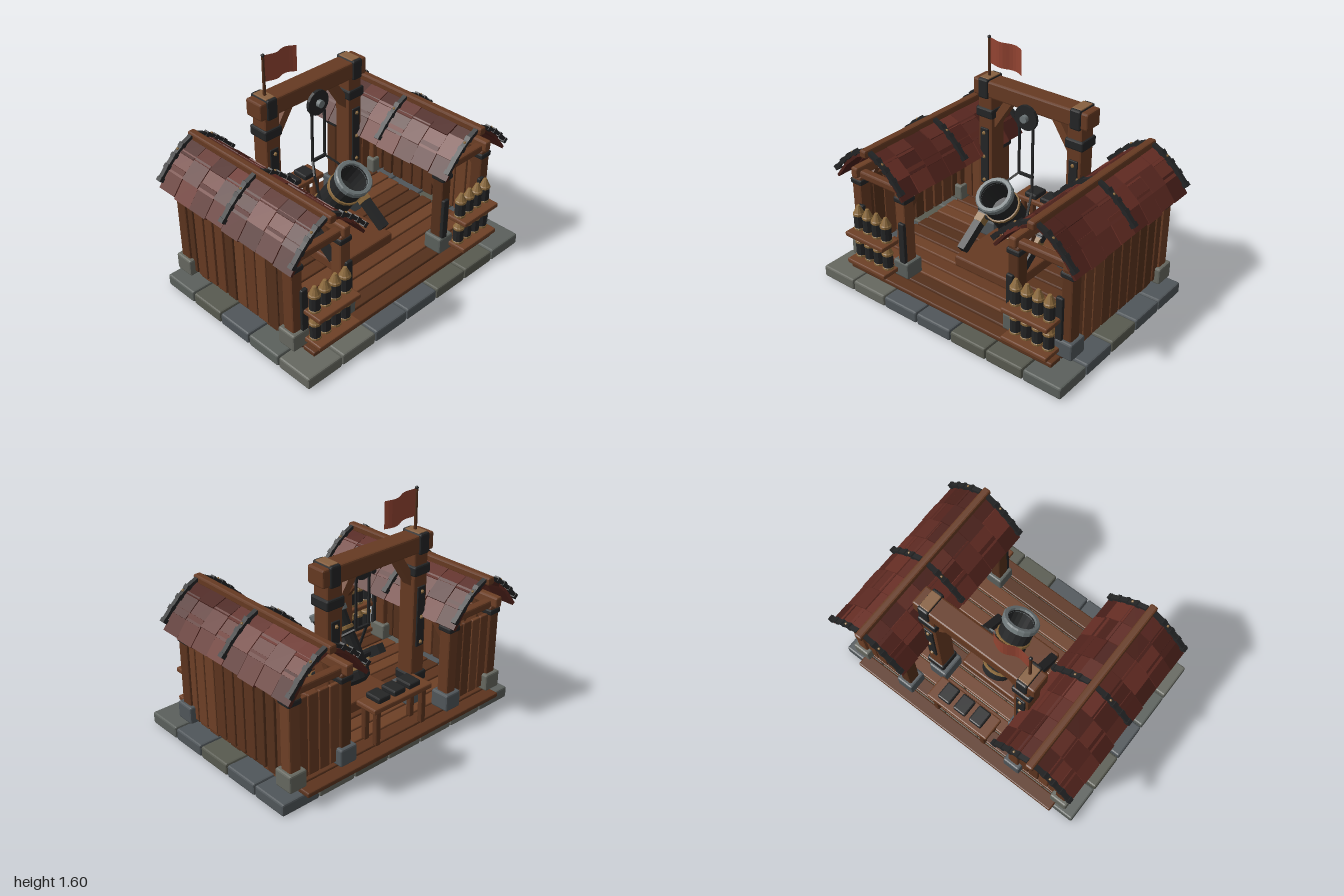
import * as THREE from 'three';
import { RoundedBoxGeometry } from 'three/addons/geometries/RoundedBoxGeometry.js';

const WOOD = [0x663a22, 0x5c341e, 0x6e4026, 0x54301c];
const ROOF = [0x5e2a22, 0x54241d, 0x682e25, 0x4a201a];
const STONE = [0x5b605c, 0x50565a, 0x666860, 0x585a50];
const IRON = 0x242526, BRASS = 0x8c6a3c, STEEL = 0x6d7678, TAN = 0x87603f, CLOTH = 0x944432;

export function createModel() {
  const model = new THREE.Group();
  let seed = 7;
  const rnd = () => (seed = (seed * 16807) % 2147483647) / 2147483647;
  const pick = list => list[Math.floor(rnd() * list.length)];
  const mats = {};
  const mat = c => (mats[c] ??= new THREE.MeshStandardMaterial({ color: c, flatShading: true }));
  const group = (name, parent = model) => {
    const g = new THREE.Group();
    g.name = name;
    parent.add(g);
    return g;
  };
  const add = (g, name, geo, color) => {
    const m = new THREE.Mesh(geo, mat(color));
    m.name = name;
    g.add(m);
    return m;
  };
  // Chamfered block given by its ranges along x, y and z; s mirrors it in x
  const block = (g, name, color, [x0, x1], [y0, y1], [z0, z1], s = 1) => {
    const w = x1 - x0, h = y1 - y0, d = z1 - z0;
    const m = add(g, name, new RoundedBoxGeometry(w, h, d, 1, Math.min(0.012, Math.min(w, h, d) * 0.25)), color);
    m.position.set(s * (x0 + x1) / 2, (y0 + y1) / 2, (z0 + z1) / 2);
    return m;
  };
  // Square bar from point a to point b
  const bar = (g, name, color, a, b, w, d) => {
    const p = new THREE.Vector3(...a), q = new THREE.Vector3(...b), dir = q.clone().sub(p);
    const m = add(g, name, new THREE.BoxGeometry(w, dir.length(), d), color);
    m.position.copy(p).add(q).multiplyScalar(0.5);
    m.quaternion.setFromUnitVectors(new THREE.Vector3(0, 1, 0), dir.normalize());
    return m;
  };
  const around = (c, r) => [c - r, c + r];
  const lathe = (pts, n) => new THREE.LatheGeometry(pts.map(p => new THREE.Vector2(...p)), n);

  // Stone slab base
  const base = group('stoneBase');
  for (let i = 0; i < 7; i++) for (let k = 0; k < 5; k++)
    block(base, 'slab', pick(STONE), around((i - 3) * 0.286, 0.139), [0.008, 0.09], around(0.035 + (k - 2) * 0.273, 0.132));

  // Floor boards
  const floor = group('floor');
  for (let i = 0; i < 12; i++) {
    const r = 0.84 + rnd() * 0.015;
    block(floor, 'floorBoard', pick(WOOD), [-r, r], [0.09, 0.122], around(0.55 - i * 0.1082, 0.049));
  }

  // Shell: iron body, brass base, collar and nose
  const shell = (g, x, y, z) => {
    const s = group('shell', g);
    s.position.set(x, y, z);
    add(s, 'shellBody', lathe([[0, 0], [0.036, 0], [0.036, 0.11], [0, 0.11]], 10), IRON);
    add(s, 'shellBase', lathe([[0, 0], [0.039, 0], [0.039, 0.012], [0.035, 0.016]], 10), BRASS);
    add(s, 'shellNose', lathe([[0.036, 0.104], [0.039, 0.107], [0.039, 0.122], [0.034, 0.128], [0.012, 0.178], [0, 0.18]], 10), BRASS);
  };

  // Two side sheds
  const rows = [[0, 0.995, 0.125, 0.937], [0.1, 0.957, 0.222, 0.848], [0.185, 0.887, 0.295, 0.74]];
  const strap = [[0.025, 1.02], [0.1, 0.982], [0.165, 0.935], [0.225, 0.88], [0.287, 0.812]];
  const RX = 0.665;
  for (const s of [1, -1]) {
    const shed = group(s > 0 ? 'leftShed' : 'rightShed');
    for (const x of [0.86, 0.465]) {
      for (const z of [0.44, -0.555]) {
        block(shed, 'footStone', pick(STONE), around(x, 0.065), [0.12, 0.24], around(z, 0.07), s);
        block(shed, 'post', pick(WOOD), around(x, 0.041), [0.2, 0.74], around(z, 0.045), s);
        block(shed, 'postCap', IRON, around(x, 0.05), [0.68, 0.72], around(z, 0.052), s);
        // Knee brace under the eave beam
        const t = -Math.sign(z);
        bar(shed, 'kneeBrace', WOOD[1], [s * x, 0.6, z + t * 0.03], [s * x, 0.735, z + t * 0.14], 0.04, 0.04);
      }
      block(shed, 'eaveBeam', WOOD[2], around(x, 0.028), [0.735, 0.81], [-0.63, 0.5], s);
      block(shed, 'rackStrap', IRON, around(x === 0.86 ? 0.82 : 0.45, 0.025), [0.2, 0.54], [0.475, 0.505], s);
    }
    for (const z of [0.44, -0.555])
      block(shed, 'tieBeam', WOOD[0], [0.41, 0.92], [0.725, 0.78], around(z, 0.03), s);
    block(shed, 'ridgeBeam', WOOD[0], around(RX, 0.027), [0.985, 1.04], [-0.71, 0.59], s);

    // Outer and rear plank walls
    for (let i = 0; i < 10; i++)
      block(shed, 'wallPlank', pick(WOOD), around(0.872, 0.014), [0.145, 0.685], around(0.385 - i * 0.0985, 0.04 + rnd() * 0.007), s);
    for (let i = 0; i < 4; i++)
      block(shed, 'backPlank', pick(WOOD), around(0.785 - i * 0.083, 0.038), [0.145, 0.685 + rnd() * 0.01], [-0.58, -0.552], s);

    // Curved shingle roof with iron straps
    const roof = group('roof', shed);
    for (const e of [1, -1]) {
      const at = (dx, y, z) => [s * RX + e * dx, y, z];
      rows.forEach(([xa, ya, xb, yb], r) => {
        for (let i = 0; i < 8; i++) {
          const z = 0.475 - i * 0.1535, j = rnd() * 0.012;
          bar(roof, 'shingle', pick(ROOF), at(xa, ya, z), at(xb - j * 0.5, yb + j, z), 0.018 + ((i + r) % 2) * 0.006, 0.15);
        }
      });
      for (const z of [0.55, -0.058, -0.672]) {
        for (let i = 0; i < 4; i++) {
          bar(roof, 'roofStrap', IRON, at(...strap[i], z), at(...strap[i + 1], z), 0.022, 0.032);
          bar(roof, 'strapJoint', IRON, at(strap[i + 1][0] - 0.012, strap[i + 1][1] + 0.012, z),
            at(strap[i + 1][0] + 0.008, strap[i + 1][1] - 0.01, z), 0.034, 0.038);
        }
        add(roof, 'strapStud', new THREE.IcosahedronGeometry(0.01, 0), BRASS).position.set(...at(0.135, 0.972, z));
      }
    }

    // Shell rack on the front
    const rack = group('shellRack', shed);
    for (const y of [0.152, 0.365]) {
      block(rack, 'rackShelf', WOOD[2], [0.49, 0.835], [y, y + 0.033], [0.485, 0.642], s);
      for (let i = 0; i < 4; i++) shell(rack, s * (0.538 + i * 0.083), y + 0.034, 0.55);
    }
  }

  // Hoist frame
  const hoist = group('hoistFrame'), HZ = -0.322;
  for (const s of [1, -1]) {
    block(hoist, 'frameFoot', STONE[1], [0.27, 0.415], [0.12, 0.25], around(HZ, 0.09), s);
    block(hoist, 'framePost', WOOD[0], [0.305, 0.42], [0.2, 1.21], around(HZ, 0.065), s);
    for (const [y0, y1] of [[0.27, 0.34], [1.042, 1.113]])
      block(hoist, 'postBand', IRON, [0.295, 0.435], [y0, y1], around(HZ, 0.077), s);
    for (const f of [1, -1]) {
      const z = HZ + f * 0.068;
      block(hoist, 'postPlate', IRON, around(0.365, 0.033), [0.54, 0.965], around(z, 0.008), s);
      for (const y of [0.57, 0.75, 0.93])
        add(hoist, 'plateStud', new THREE.IcosahedronGeometry(0.015, 0), BRASS).position.set(s * 0.365, y, z + f * 0.008);
    }
    bar(hoist, 'frameBrace', WOOD[2], [s * 0.325, 0.99, HZ], [s * 0.17, 1.225, HZ], 0.055, 0.07);
    block(hoist, 'beamBand', IRON, around(0.37, 0.04), [1.185, 1.325], around(HZ, 0.083), s);
    block(hoist, 'beamCap', TAN, around(0.37, 0.036), [1.31, 1.329], around(HZ, 0.062), s);
  }
  block(hoist, 'crossBeam', WOOD[0], [-0.46, 0.46], [1.195, 1.313], around(HZ, 0.07));

  // Pulley
  const disc = (name, r, d, color, z) => {
    const m = add(hoist, name, new THREE.CylinderGeometry(r, r, d, 16), color);
    m.rotation.x = Math.PI / 2;
    m.position.set(0, 1.16, z);
  };
  disc('pulleyWheel', 0.088, 0.022, IRON, -0.237);
  disc('pulleyHub', 0.026, 0.05, STEEL, -0.222);
  disc('pulleyAxle', 0.02, 0.1, IRON, -0.285);

  // Mortar barrel, tilted up and forward; local y runs from breech to muzzle
  const mortar = group('mortar');
  const barrel = group('barrel', mortar);
  barrel.position.set(0, 0.335, -0.185);
  barrel.rotation.x = 0.607;
  add(barrel, 'barrelTube', lathe([[0, -0.03], [0.06, -0.025], [0.1, 0], [0.11, 0.05], [0.114, 0.2], [0.113, 0.36],
    [0.118, 0.47], [0.095, 0.485], [0.088, 0.3], [0, 0.3]], 18), IRON);
  const ring = (name, y, r, h, color) =>
    add(barrel, name, lathe([[r - 0.012, y], [r, y + 0.004], [r, y + h - 0.004], [r - 0.012, y + h]], 18), color);
  ring('breechBand', 0.06, 0.12, 0.025, BRASS);
  ring('barrelBand', 0.325, 0.122, 0.028, BRASS);
  add(barrel, 'muzzleRing', lathe([[0.112, 0.45], [0.128, 0.456], [0.13, 0.49], [0.122, 0.5], [0.1, 0.5], [0.094, 0.47]], 18), STEEL);

  // Carriage bed, slanted cheeks and trunnions
  block(mortar, 'carriageBed', WOOD[0], [-0.253, 0.253], [0.145, 0.225], [-0.25, 0.21]);
  for (const s of [1, -1]) {
    for (const z of [-0.18, 0.14]) block(mortar, 'bedFoot', WOOD[3], around(0.2, 0.03), [0.12, 0.15], around(z, 0.04), s);
    bar(mortar, 'cheek', IRON, [s * 0.235, 0.245, 0.15], [s * 0.235, 0.48, -0.175], 0.056, 0.065);
    bar(mortar, 'cheekBand', BRASS, [s * 0.235, 0.375, -0.03], [s * 0.235, 0.41, -0.078], 0.062, 0.072);
    const pin = add(mortar, 'trunnion', new THREE.CylinderGeometry(0.028, 0.028, 0.18, 12), IRON);
    pin.rotation.z = Math.PI / 2;
    pin.position.set(s * 0.18, 0.42, -0.08);
    // Hoist ropes with a spreading sling
    const sling = [[s * 0.055, 1.15, -0.235], [s * 0.055, 0.74, -0.235], [s * 0.11, 0.68, -0.16], [s * 0.125, 0.5, -0.08]];
    for (let i = 0; i < 3; i++) bar(mortar, 'rope', IRON, sling[i], sling[i + 1], 0.014, 0.014);
  }
  bar(mortar, 'slingSpreader', IRON, [-0.062, 0.74, -0.235], [0.062, 0.74, -0.235], 0.018, 0.018);

  // Work table at the back with three cases
  const table = group('workTable');
  block(table, 'tableTop', WOOD[2], [-0.255, 0.25], [0.365, 0.402], [-0.62, -0.45]);
  for (const x of [-0.2, 0.2]) for (const z of [-0.585, -0.485])
    block(table, 'tableLeg', WOOD[1], around(x, 0.02), [0.12, 0.37], around(z, 0.02));
  for (const x of [-0.132, 0, 0.132]) block(table, 'case', IRON, around(x, 0.05), [0.4, 0.44], around(-0.525, 0.062));

  // Flag on its pole
  const flag = group('flag');
  add(flag, 'flagPole', new THREE.CylinderGeometry(0.009, 0.011, 0.3, 8), WOOD[3]).position.set(-0.37, 1.45, -0.315);
  add(flag, 'poleTip', new THREE.IcosahedronGeometry(0.012, 1), IRON).position.set(-0.37, 1.598, -0.315);
  const cloth = new THREE.PlaneGeometry(0.265, 0.18, 12, 2), pos = cloth.attributes.position;
  for (let i = 0; i < pos.count; i++) {
    const u = pos.getX(i) / 0.265 + 0.5;
    pos.setY(i, pos.getY(i) - 0.022 * u);
    pos.setZ(i, 0.022 * Math.sin(u * 6.5) * Math.min(1, u * 2));
  }
  const sheet = add(flag, 'flagCloth', cloth, CLOTH);
  sheet.material.side = THREE.DoubleSide;
  sheet.position.set(-0.234, 1.507, -0.315);

  return model;
}
